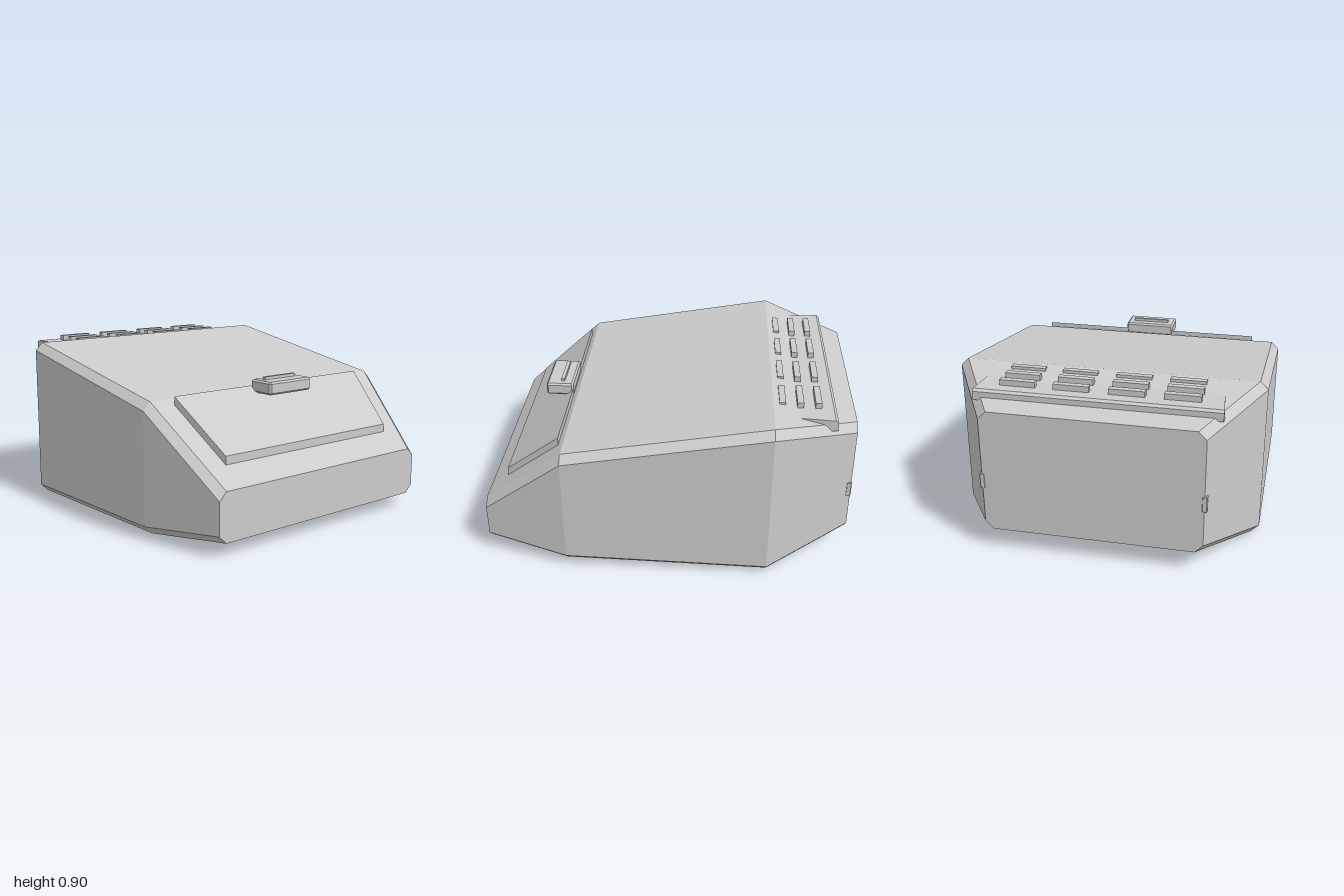
import * as THREE from 'three';
import { ConvexGeometry } from 'three/addons/geometries/ConvexGeometry.js';

const material = new THREE.MeshStandardMaterial({ color: 0xcccccc, flatShading: true });

// Skin a series of equal-length rings ordered back to front (each counter-clockwise from the front), with end caps.
function loft(rings) {
  const pos = [];
  const tri = (a, b, c) => pos.push(...a, ...b, ...c);
  const n = rings[0].length;
  for (let k = 0; k < rings.length - 1; k++) {
    const a = rings[k], b = rings[k + 1];
    for (let i = 0; i < n; i++) {
      const j = (i + 1) % n;
      tri(a[i], a[j], b[j]);
      tri(a[i], b[j], b[i]);
    }
  }
  const first = rings[0], last = rings[rings.length - 1];
  for (let i = 1; i < n - 1; i++) {
    tri(first[0], first[i + 1], first[i]);
    tri(last[0], last[i], last[i + 1]);
  }
  const g = new THREE.BufferGeometry();
  g.setAttribute('position', new THREE.Float32BufferAttribute(pos, 3));
  g.computeVertexNormals();
  return g;
}

// Box with every edge chamfered by b
function chamferBox(w, h, d, b) {
  const pts = [];
  for (const x of [-w / 2, w / 2]) for (const y of [-h / 2, h / 2]) for (const z of [-d / 2, d / 2]) {
    const sx = Math.sign(x) * b, sy = Math.sign(y) * b, sz = Math.sign(z) * b;
    pts.push(
      new THREE.Vector3(x, y - sy, z - sz),
      new THREE.Vector3(x - sx, y, z - sz),
      new THREE.Vector3(x - sx, y - sy, z));
  }
  return new ConvexGeometry(pts);
}

export function createModel() {
  const model = new THREE.Group();
  model.name = 'housing';
  const add = (name, geometry, x = 0, y = 0, z = 0) => {
    const mesh = new THREE.Mesh(geometry, material);
    mesh.name = name;
    mesh.position.set(x, y, z);
    model.add(mesh);
  };

  // Main body: chamfered rectangular sections [z, half width, bottom, top]
  const c = 0.043;
  const section = ([z, w, lo, hi]) => [
    [w - c, lo, z], [w, lo + c, z], [w, hi - c, z], [w - c, hi, z],
    [-w + c, hi, z], [-w, hi - c, z], [-w, lo + c, z], [-w + c, lo, z],
  ];
  add('body', loft([
    [-0.998, 0.58, 0.125, 0.81],
    [-0.55, 0.835, 0.003, 0.905],
    [0.55, 0.835, 0.03, 0.715],
    [1, 0.715, 0.075, 0.335],
  ].map(section)));

  // Raised trapezoid panel lying on the front slope
  const panelSection = ([z, w, lo, hi]) => [[w, lo, z], [w, hi, z], [-w, hi, z], [-w, lo, z]];
  add('frontPanel', loft([
    [0.58, 0.665, 0.68, 0.732],
    [0.89, 0.585, 0.425, 0.472],
  ].map(panelSection)));

  // Latch at the top of the panel with a thin rib
  add('latch', chamferBox(0.3, 0.07, 0.155, 0.01), 0, 0.732, 0.655);
  add('latchRib', new THREE.BoxGeometry(0.22, 0.02, 0.02), 0, 0.773, 0.64);

  // Rear hood: a wedge tapering into the back slope
  const hoodProfile = [[-0.69, 0.876], [-0.87, 0.876], [-0.885, 0.864], [-0.885, 0.818], [-0.85, 0.812]];
  const hoodSide = (s) => hoodProfile.map(([z, y]) =>
    new THREE.Vector3(s * (z > -0.7 ? 0.628 : 0.645), y, z));
  add('rearHood', new ConvexGeometry([...hoodSide(-1), ...hoodSide(1)]));

  // Vent slats in three rows of four
  for (const z of [-0.6, -0.695, -0.79])
    for (const x of [-0.43, -0.145, 0.145, 0.43])
      add('ventSlat', new THREE.BoxGeometry(0.188, 0.032, 0.034), x, 0.891, z);

  // Small catches on the rear corners
  for (const s of [-1, 1])
    add('rearCatch', chamferBox(0.03, 0.09, 0.03, 0.005), s * 0.58, 0.41, -0.985);

  return model;
}
